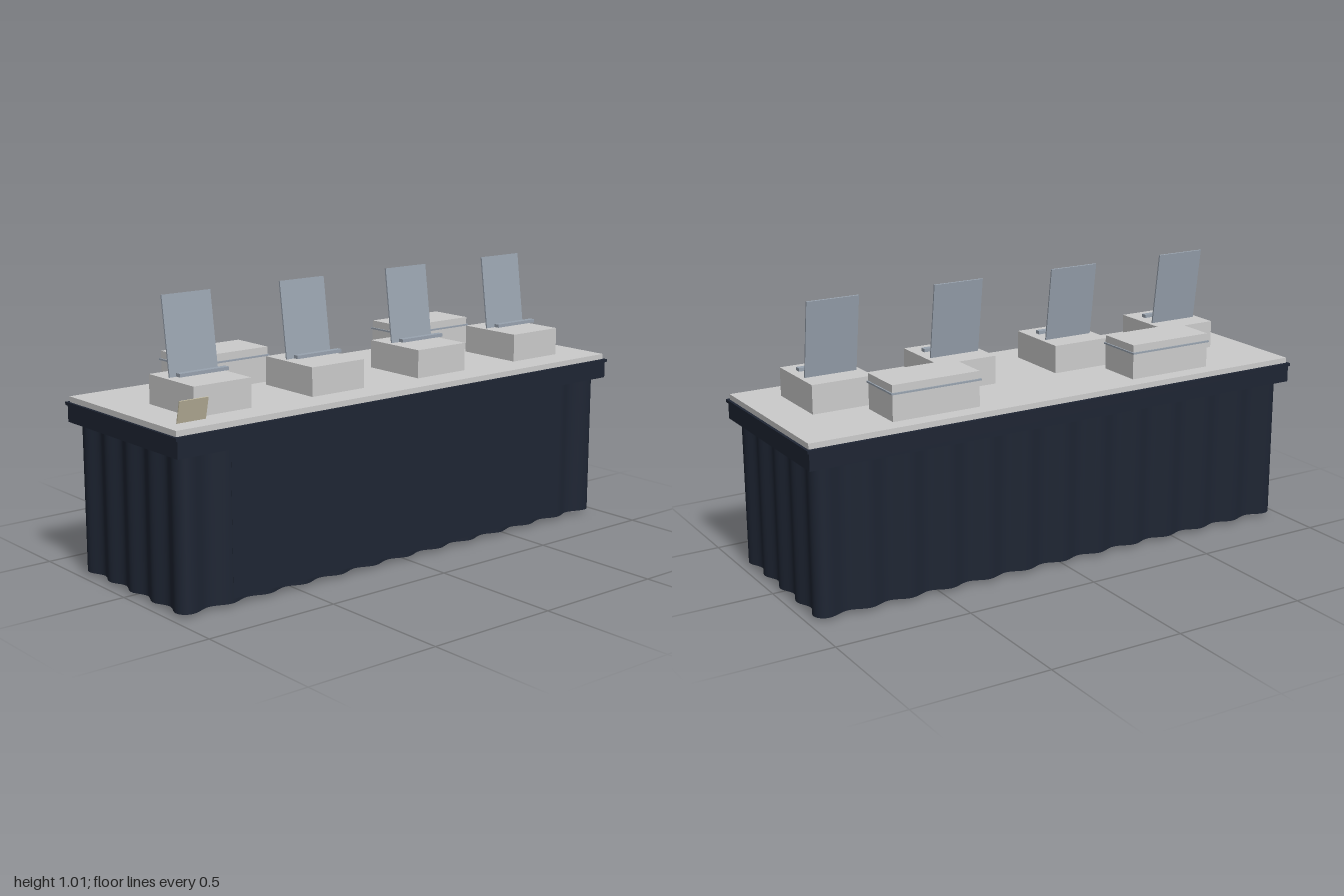
import * as THREE from 'three';

const mat = (color, side = THREE.FrontSide) => new THREE.MeshStandardMaterial({ color, side });

export function createModel() {
  const model = new THREE.Group();
  const grey = mat(0xcccccc);
  const cloth = mat(0x1e2533, THREE.DoubleSide);
  const screenMat = mat(0x99a3af);
  const legMat = mat(0x8c8c92);
  const cardMat = mat(0xc0b9a0);

  // Box given by its min/max extents
  const box = (name, material, [x0, x1], [y0, y1], [z0, z1]) => {
    const m = new THREE.Mesh(new THREE.BoxGeometry(x1 - x0, y1 - y0, z1 - z0), material);
    m.position.set((x0 + x1) / 2, (y0 + y1) / 2, (z0 + z1) / 2);
    m.name = name;
    model.add(m);
    return m;
  };

  // Thin upright plate leaning from (x0, y0) to (x1, y1)
  const leaningPlate = (name, material, [x0, y0], [x1, y1], thickness, z, width) => {
    const length = Math.hypot(x1 - x0, y1 - y0);
    const m = new THREE.Mesh(new THREE.BoxGeometry(thickness, length, width), material);
    m.position.set((x0 + x1) / 2, (y0 + y1) / 2, z);
    m.rotation.z = -Math.atan2(x1 - x0, y1 - y0);
    m.name = name;
    model.add(m);
  };

  // Table top and cloth valance
  box('tableTop', grey, [-0.327, 0.327], [0.61, 0.635], [-0.99, 0.99]);
  box('valanceRim', cloth, [-0.341, 0.341], [0.604, 0.615], [-1, 1]);
  box('valance', cloth, [-0.337, 0.337], [0.544, 0.606], [-0.993, 0.993]);

  // Pleated skirt around the table
  const skirt = new THREE.Mesh(skirtGeometry(), cloth);
  skirt.name = 'skirt';
  model.add(skirt);

  // Flat panel over the skirt on the serving side
  box('sidePanel', cloth, [0.298, 0.311], [0.028, 0.546], [-0.77, 0.77]);

  // Legs
  for (const x of [-0.27, 0.27]) for (const z of [-0.905, 0.905]) {
    const leg = new THREE.Mesh(new THREE.CylinderGeometry(0.01, 0.01, 0.55, 16), legMat);
    leg.position.set(x, 0.275, z);
    leg.name = 'leg';
    model.add(leg);
  }

  // Four stations: base, leaning screen and front bar
  for (const z of [-0.73, -0.243, 0.243, 0.73]) {
    box('stationBase', grey, [-0.049, 0.214], [0.635, 0.738], [z - 0.115, z + 0.115]);
    leaningPlate('screen', screenMat, [0.047, 0.738], [0.01, 1.01], 0.006, z, 0.195);
    box('stationBar', screenMat, [0.09, 0.112], [0.749, 0.761], [z - 0.098, z + 0.098]);
  }

  // Two storage boxes with a lid rim
  for (const z of [-0.488, 0.488]) {
    box('storageBox', grey, [-0.265, -0.09], [0.635, 0.762], [z - 0.167, z + 0.167]);
    box('lidRim', screenMat, [-0.271, -0.085], [0.729, 0.735], [z - 0.172, z + 0.172]);
  }

  // Small leaning card at the front corner
  leaningPlate('card', cardMat, [0.246, 0.635], [0.264, 0.711], 0.004, 0.878, 0.112);

  return model;
}

// Vertical wall following a rounded rectangle, waved along its straight sides
function skirtGeometry() {
  const hx = 0.3, hz = 0.96, r = 0.03, amp = 0.011;
  const y0 = 0.013, y1 = 0.55;
  const ring = [];
  const sides = [
    { n: [0, 1], d: [1, 0], out: hz, half: hx - r, waves: 4 },
    { n: [1, 0], d: [0, -1], out: hx, half: hz - r, waves: 12 },
    { n: [0, -1], d: [-1, 0], out: hz, half: hx - r, waves: 4 },
    { n: [-1, 0], d: [0, 1], out: hx, half: hz - r, waves: 12 },
  ];
  for (const { n, d, out, half, waves } of sides) {
    const steps = waves * 12;
    for (let i = 0; i <= steps; i++) {
      const t = i / steps;
      const off = out + amp * Math.cos(2 * Math.PI * waves * t);
      const along = (2 * t - 1) * half;
      ring.push([n[0] * off + d[0] * along, n[1] * off + d[1] * along]);
    }
    // rounded corner turning from n to d
    for (let i = 1; i < 6; i++) {
      const a = (i / 6) * Math.PI / 2, c = Math.cos(a) * (r + amp), s = Math.sin(a) * (r + amp);
      ring.push([
        n[0] * (out - r + c) + d[0] * (half + s),
        n[1] * (out - r + c) + d[1] * (half + s),
      ]);
    }
  }
  const positions = [], index = [];
  ring.forEach(([x, z], i) => {
    positions.push(x, y0, z, x, y1, z);
    const a = 2 * i, b = 2 * ((i + 1) % ring.length);
    index.push(a, b, b + 1, a, b + 1, a + 1);
  });
  const g = new THREE.BufferGeometry();
  g.setAttribute('position', new THREE.Float32BufferAttribute(positions, 3));
  g.setIndex(index);
  g.computeVertexNormals();
  return g;
}
